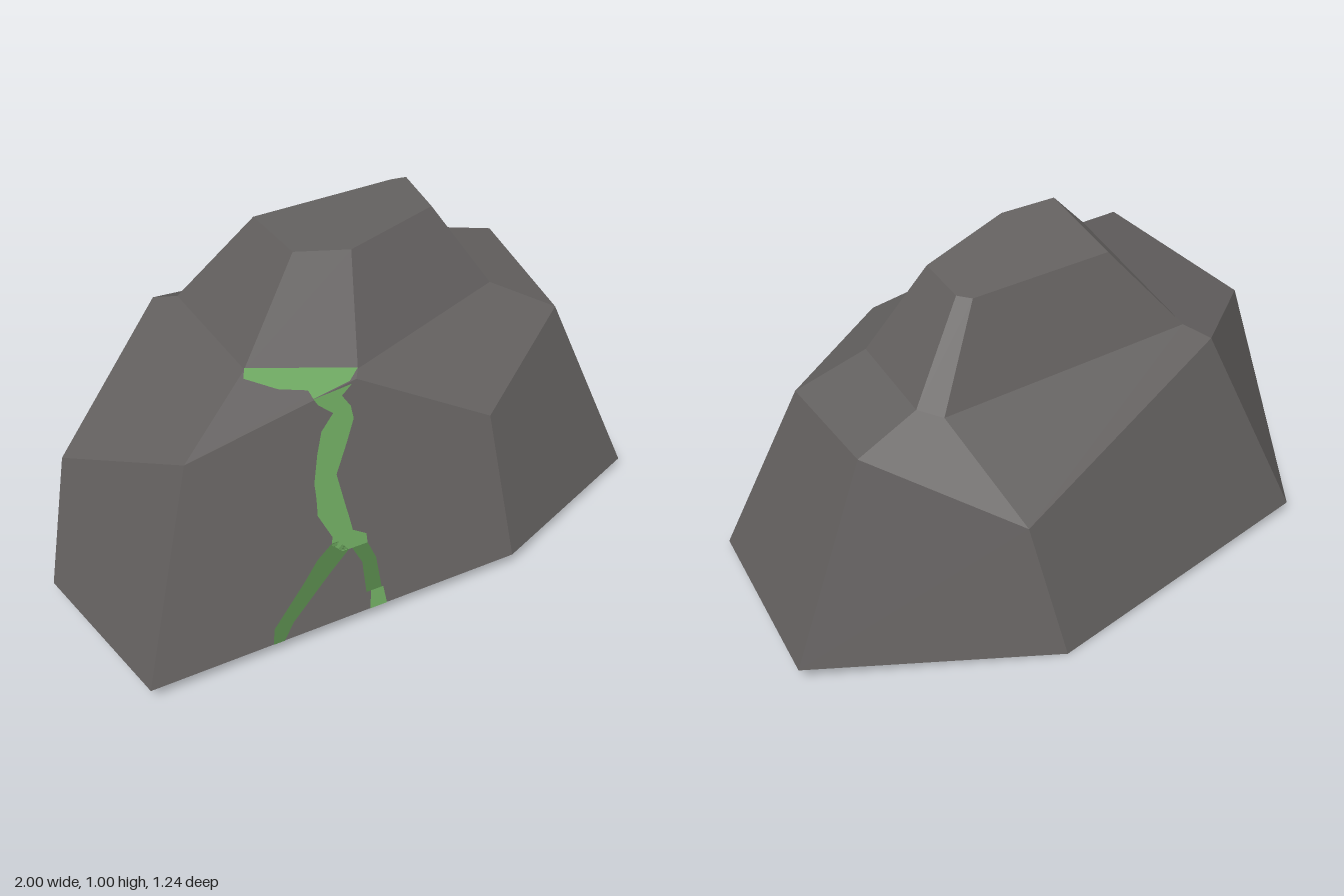
import * as THREE from 'three';

const rock = new THREE.MeshStandardMaterial({ color: 0x646160, side: THREE.DoubleSide });
rock.name = 'greyRock';
const green = new THREE.MeshStandardMaterial({ color: 0x6ba55e, side: THREE.DoubleSide });
green.name = 'mossGreen';
const darkGreen = new THREE.MeshStandardMaterial({ color: 0x528047, side: THREE.DoubleSide });
darkGreen.name = 'darkMossGreen';

// Rings of corners, counterclockwise from above, starting at the -x side
const base = [[-1, 0.05, -0.1], [-1, 0.05, 0.45], [0.17, 0.05, 0.62], [0.79, 0.025, 0.45],
  [1, 0.05, -0.2], [0.36, 0, -0.62], [-0.63, 0.037, -0.61]];
const rim = [[-0.93, 0.49, -0.09], [-0.79, 0.67, 0.35], [-0.22, 0.71, 0.35], [0.11, 0.555, 0.55],
  [0.62, 0.59, 0.27], [0.735, 0.628, -0.175], [0.45, 0.455, -0.55], [-0.41, 0.66, -0.43]];
const shoulder = [[-0.5, 0.78, 0.21], [-0.2, 0.725, 0.33], [0.43, 0.70, 0.17],
  [0.53, 0.70, -0.18], [0.48, 0.68, -0.24], [-0.37, 0.69, -0.35]];
const crown = [[-0.24, 1.0, 0.08], [-0.08, 0.98, 0.14], [0.28, 0.965, 0.06],
  [0.335, 0.965, -0.13], [0.30, 0.955, -0.16], [-0.17, 0.955, -0.22]];

const vec = (p) => new THREE.Vector3(...p);

// Area-weighted normal of a whole polygon, so each facet shades as one plane
function facetNormal(p) {
  const n = new THREE.Vector3();
  const o = vec(p[0]);
  for (let i = 1; i < p.length - 1; i++) {
    n.add(vec(p[i]).sub(o).cross(vec(p[i + 1]).sub(o)));
  }
  return n.normalize();
}

// Mesh from polygons, each fanned out from its first corner
function facets(name, material, polygons, sharedNormal) {
  const pos = [];
  const normals = [];
  for (const p of polygons) {
    const n = (sharedNormal || facetNormal(p)).toArray();
    for (let i = 1; i < p.length - 1; i++) {
      pos.push(...p[0], ...p[i], ...p[i + 1]);
      normals.push(...n, ...n, ...n);
    }
  }
  const g = new THREE.BufferGeometry();
  g.setAttribute('position', new THREE.Float32BufferAttribute(pos, 3));
  g.setAttribute('normal', new THREE.Float32BufferAttribute(normals, 3));
  const mesh = new THREE.Mesh(g, material);
  mesh.name = name;
  return mesh;
}

// Front wall, and its depth where the veins run (two planes meeting in a ridge)
const frontWall = [base[2], rim[3], rim[2], rim[1], base[1]];
const wallPlanes = [[base[1], base[2], rim[1]], [rim[1], base[2], rim[2]]]
  .map((t) => new THREE.Plane().setFromCoplanarPoints(...t.map(vec)));
const wallZ = (x, y) => Math.min(...wallPlanes.map(
  ({ normal: n, constant: c }) => -(c + n.x * x + n.y * y) / n.z));

// Strip painted on both sides of the front wall; rows are [y, left x, right x], top down
function vein(name, material, rows) {
  const fine = [];
  const steps = 3;
  for (let i = 0; i < rows.length - 1; i++) {
    for (let s = 0; s < steps; s++) {
      fine.push(rows[i].map((v, k) => THREE.MathUtils.lerp(v, rows[i + 1][k], s / steps)));
    }
  }
  fine.push(rows[rows.length - 1]);
  const polygons = [];
  for (const offset of [0.0045, -0.0045]) {
    const at = ([y, l, r], t) => {
      const x = THREE.MathUtils.lerp(l, r, t);
      return [x, y, wallZ(x, y) + offset];
    };
    for (let i = 0; i < fine.length - 1; i++) {
      for (const t of [0, 0.5]) {
        polygons.push([at(fine[i + 1], t), at(fine[i + 1], t + 0.5), at(fine[i], t + 0.5), at(fine[i], t)]);
      }
    }
  }
  return facets(name, material, polygons, facetNormal(frontWall));
}

export function createModel() {
  const model = new THREE.Group();
  model.name = 'boulder';
  const [b, r, s, c] = [base, rim, shoulder, crown];

  // Steep lower walls, open underneath
  model.add(facets('lowerWalls', rock, [
    [b[0], b[1], r[1], r[0]],
    frontWall,
    [b[2], b[3], r[4], r[3]],
    [b[3], b[4], r[5], r[4]],
    [b[4], b[5], r[6], r[5]],
    [b[5], b[6], r[7], r[6]],
    [b[6], b[0], r[0], r[7]],
  ]));

  // Sloping ledge around the peak
  model.add(facets('ledge', rock, [
    [s[0], s[5], r[7], r[0], r[1]],
    [r[1], r[2], s[1], s[0]],
    [s[1], r[2], r[3], r[4], s[2]],
    [r[4], r[5], s[3], s[2]],
    [r[5], r[6], s[4], s[3]],
    [r[6], r[7], s[5], s[4]],
  ]));

  // Peak sides and flat crown
  model.add(facets('peak', rock, s.map((p, i) => {
    const j = (i + 1) % s.length;
    return [p, s[j], c[j], c[i]];
  })));
  model.add(facets('crown', rock, [c]));

  // Moss veins: stem and two forks on the front wall
  model.add(vein('veinStem', green, [[0.705, -0.37, -0.24], [0.685, -0.36, -0.28], [0.65, -0.32, -0.26],
    [0.615, -0.37, -0.26], [0.56, -0.40, -0.30], [0.49, -0.43, -0.355], [0.40, -0.44, -0.35],
    [0.32, -0.405, -0.34], [0.295, -0.41, -0.30], [0.265, -0.38, -0.30]]));
  model.add(vein('veinLeftFork', darkGreen, [[0.30, -0.41, -0.39], [0.265, -0.46, -0.36],
    [0.21, -0.51, -0.43], [0.10, -0.62, -0.56], [0.053, -0.63, -0.595]]));
  model.add(vein('veinRightFork', darkGreen, [[0.265, -0.35, -0.30], [0.21, -0.325, -0.28],
    [0.11, -0.325, -0.275]]));
  model.add(vein('veinTip', green, [[0.11, -0.31, -0.27], [0.053, -0.32, -0.265]]));

  // Moss patch on the ledge, placed by the ledge's own corners
  const onLedge = (u, v, lift) => [0, 1, 2].map((k) => {
    const low = THREE.MathUtils.lerp(r[1][k], r[2][k], u);
    const high = THREE.MathUtils.lerp(s[0][k], s[1][k], u);
    return THREE.MathUtils.lerp(low, high, v) + (k === 1 ? lift : 0);
  });
  const outline = [[1, 1], [0.5, 1], [0, 1], [0.05, 0.88], [0.4, 0.64], [0.66, 0.4], [0.74, 0], [0.96, 0]];
  model.add(facets('veinLedgePatch', green,
    [0.0045, -0.0045].map((lift) => outline.map(([u, v]) => onLedge(u, v, lift)))));

  return model;
}
